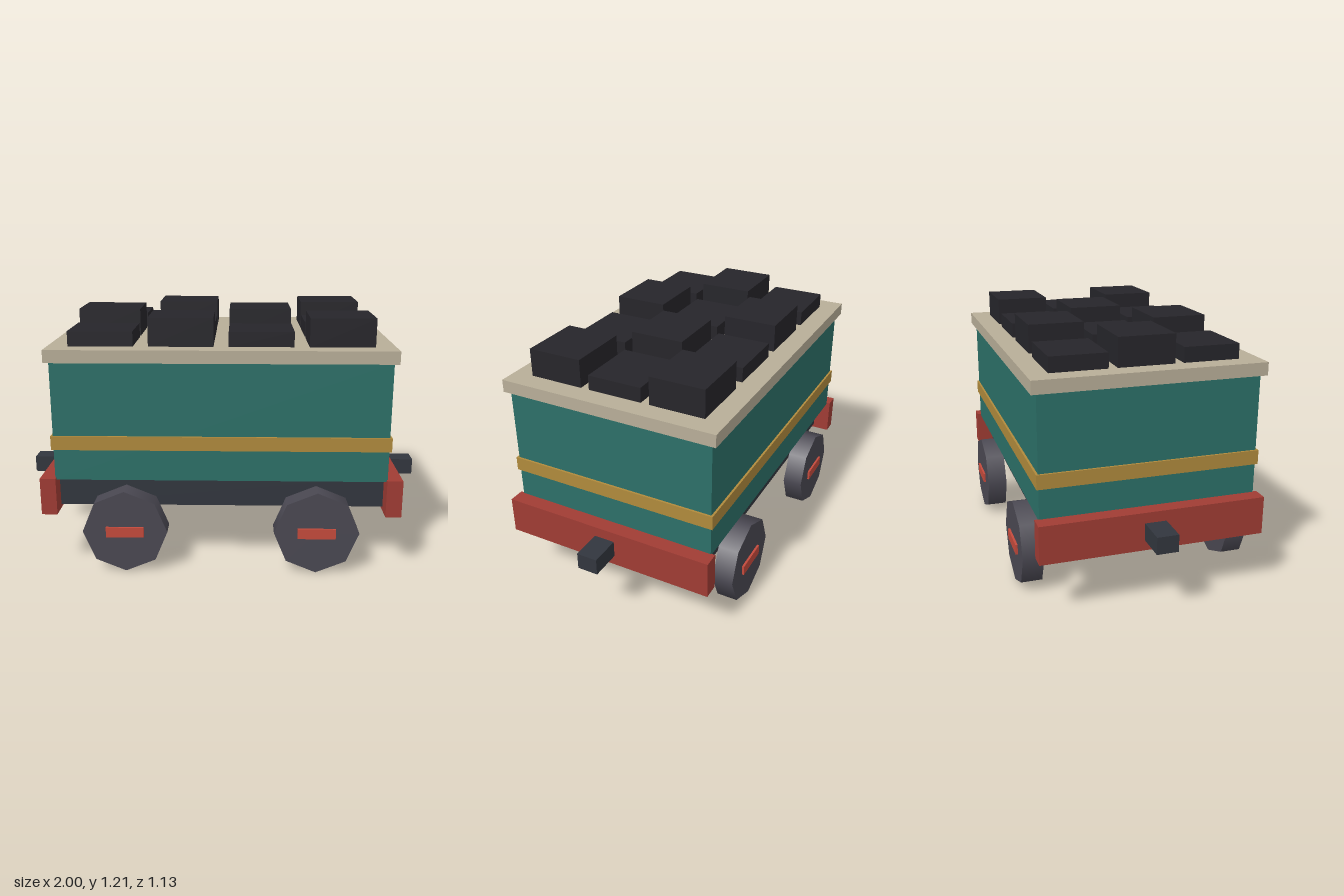
import * as THREE from 'three';

const paint = (color) => new THREE.MeshStandardMaterial({ color });

export function createModel() {
  const model = new THREE.Group();
  const teal = paint(0x2c7068), brass = paint(0xb08a3c), stone = paint(0xb8ae98);
  const red = paint(0xa03c34), hubRed = paint(0xc44a3c), iron = paint(0x32363e);
  const wheelGrey = paint(0x4a4852), coal = paint(0x26252a);

  // Box given by its size, its bottom height and its centre in x and z
  const box = (name, mat, w, h, d, x, bottom, z) => {
    const mesh = new THREE.Mesh(new THREE.BoxGeometry(w, h, d), mat);
    mesh.position.set(x, bottom + h / 2, z);
    mesh.name = name;
    model.add(mesh);
  };

  // Wagon body from the frame up
  box('underframe', iron, 1.56, 0.15, 0.88, 0, 0.295, 0);
  box('body', teal, 1.57, 0.57, 1.01, 0, 0.445, 0);
  box('brassBand', brass, 1.59, 0.067, 1.03, 0, 0.595, 0);
  box('topRim', stone, 1.61, 0.06, 1.06, 0, 1.012, 0);

  // End beams and couplers
  for (const s of [-1, 1]) {
    box('endBeam', red, 0.075, 0.18, 1.05, s * 0.818, 0.275, 0);
    box('coupler', iron, 0.16, 0.08, 0.1, s * 0.92, 0.325, 0);
  }

  // Eight-sided wheels with hub bars
  const wheelGeo = new THREE.CylinderGeometry(0.202, 0.202, 0.1, 8).rotateX(Math.PI / 2);
  for (const x of [-0.455, 0.455]) {
    for (const s of [-1, 1]) {
      const wheel = new THREE.Mesh(wheelGeo, wheelGrey);
      wheel.position.set(x, 0.202, s * 0.506);
      wheel.name = 'wheel';
      model.add(wheel);
      box('hubBar', hubRed, 0.18, 0.05, 0.121, x, 0.177, s * 0.506);
    }
  }

  // Coal blocks, low and tall in a checkerboard
  for (let i = 0; i < 4; i++) {
    for (let j = 0; j < 3; j++) {
      const height = (i + j) % 2 ? 0.133 : 0.07;
      box('coalBlock', coal, 0.302, height, 0.262, (i - 1.5) * 0.372, 1.072, (j - 1) * 0.303);
    }
  }
  return model;
}
